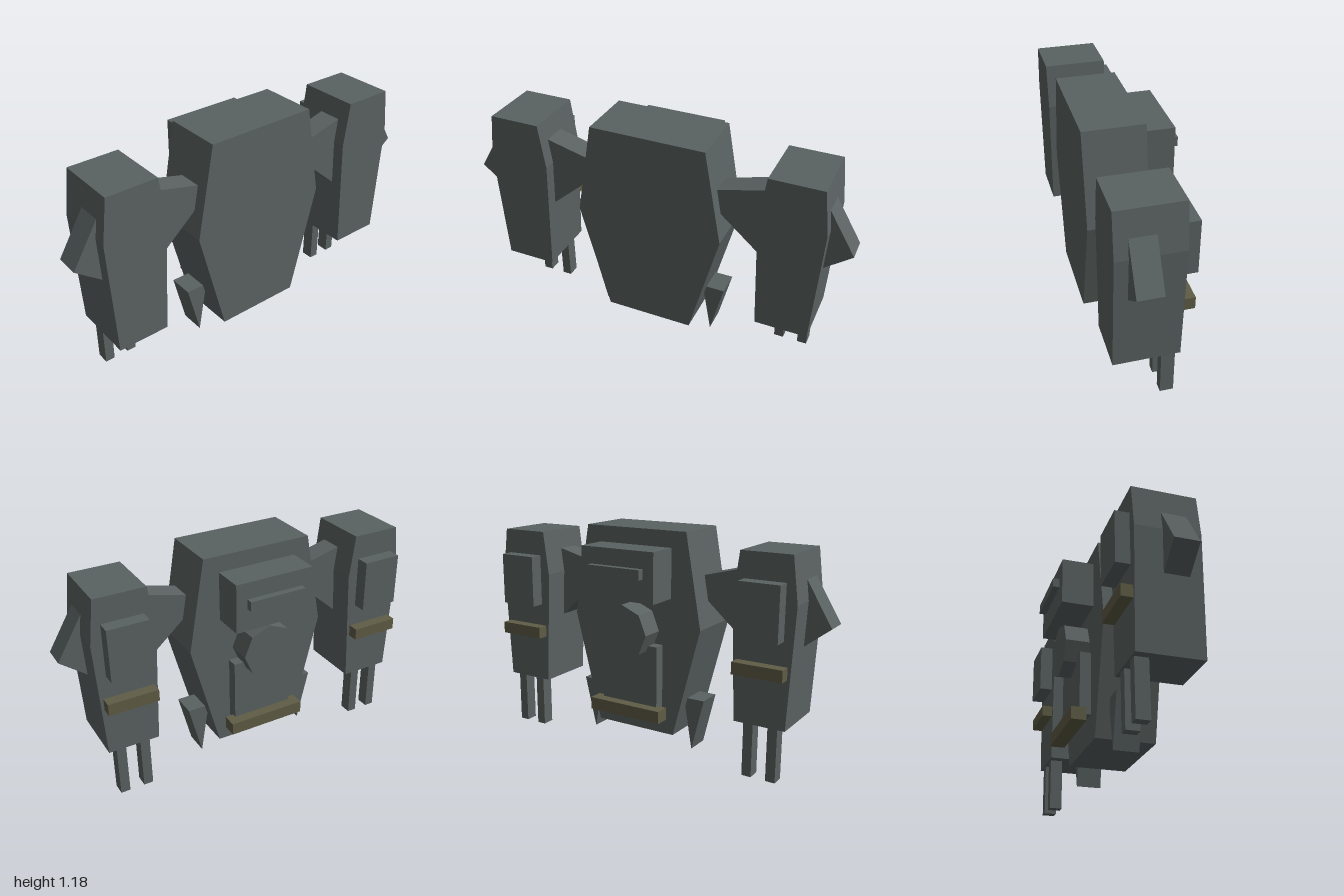
import * as THREE from 'three';

const hullMat = new THREE.MeshStandardMaterial({ color: 0x5a6261 });
hullMat.name = 'slate grey';
const stripMat = new THREE.MeshStandardMaterial({ color: 0x5f5c45 });
stripMat.name = 'olive strip';

// Box given by its limits on each axis
function block(name, x0, x1, y0, y1, z0, z1, mat = hullMat) {
  const mesh = new THREE.Mesh(new THREE.BoxGeometry(x1 - x0, y1 - y0, z1 - z0), mat);
  mesh.position.set((x0 + x1) / 2, (y0 + y1) / 2, (z0 + z1) / 2);
  mesh.name = name;
  return mesh;
}

// Front outline extruded between two depths; side = -1 mirrors it
function slab(name, points, z0, z1, side = 1) {
  const shape = new THREE.Shape(points.map(([x, y]) => new THREE.Vector2(x * side, y)));
  const geo = new THREE.ExtrudeGeometry(shape, { depth: z1 - z0, bevelEnabled: false });
  const mesh = new THREE.Mesh(geo, hullMat);
  mesh.position.z = z0;
  mesh.name = name;
  return mesh;
}

export function createModel() {
  const model = new THREE.Group();
  model.name = 'threePodCraft';

  // Central hull
  model.add(slab('centralHull', [
    [-0.23, 0.12], [0.23, 0.12], [0.38, 0.70], [0.293, 1.18], [-0.293, 1.18], [-0.38, 0.70],
  ], -0.052, 0.255));

  // Equipment on the back of the central hull
  model.add(block('backPack', -0.212, 0.212, 0.842, 1.096, -0.22, -0.04));
  model.add(block('backHandle', -0.153, 0.153, 0.96, 1.01, -0.255, -0.21));
  model.add(block('backPanel', -0.165, 0.165, 0.262, 0.597, -0.11, -0.04));
  model.add(block('backStrip', -0.21, 0.21, 0.213, 0.278, -0.164, -0.087, stripMat));
  const hub = new THREE.Mesh(new THREE.CylinderGeometry(0.143, 0.143, 0.138, 8).toNonIndexed(), hullMat);
  hub.geometry.computeVertexNormals();
  hub.rotation.x = Math.PI / 2;
  hub.position.set(0, 0.667, -0.109);
  hub.name = 'octagonalHub';
  model.add(hub);

  for (const side of [-1, 1]) {
    const pod = new THREE.Group();
    pod.name = side > 0 ? 'leftPod' : 'rightPod';

    // Side pod body
    pod.add(slab('podBody', [
      [0.583, 0.28], [0.85, 0.28], [0.88, 0.89], [0.85, 1.12], [0.588, 1.12], [0.557, 0.89],
    ], -0.067, 0.255, side));

    // Tapered arm to the hull and pointed outer fin
    pod.add(slab('connectingArm', [
      [0.31, 0.868], [0.60, 0.615], [0.60, 1.024], [0.31, 0.95],
    ], 0.068, 0.191, side));
    pod.add(slab('outerFin', [
      [0.82, 0.63], [1.0, 0.77], [0.82, 1.067],
    ], 0.068, 0.191, side));

    // Lower fin beside the hull
    pod.add(slab('lowerFin', [
      [0.26, 0.315], [0.308, 0.04], [0.375, 0.315],
    ], 0.01, 0.14, side));

    // Back plate and strip on the pod
    const cx = 0.718 * side;
    pod.add(block('podBackPlate', cx - 0.105, cx + 0.105, 0.716, 0.99, -0.138, -0.06));
    pod.add(block('podStrip', cx - 0.13, cx + 0.13, 0.535, 0.597, -0.125, -0.06, stripMat));

    // Pair of legs
    for (const x of [0.656, 0.783]) {
      pod.add(block('leg', x * side - 0.025, x * side + 0.025, 0, 0.30, -0.057, 0.01));
    }
    model.add(pod);
  }
  return model;
}
